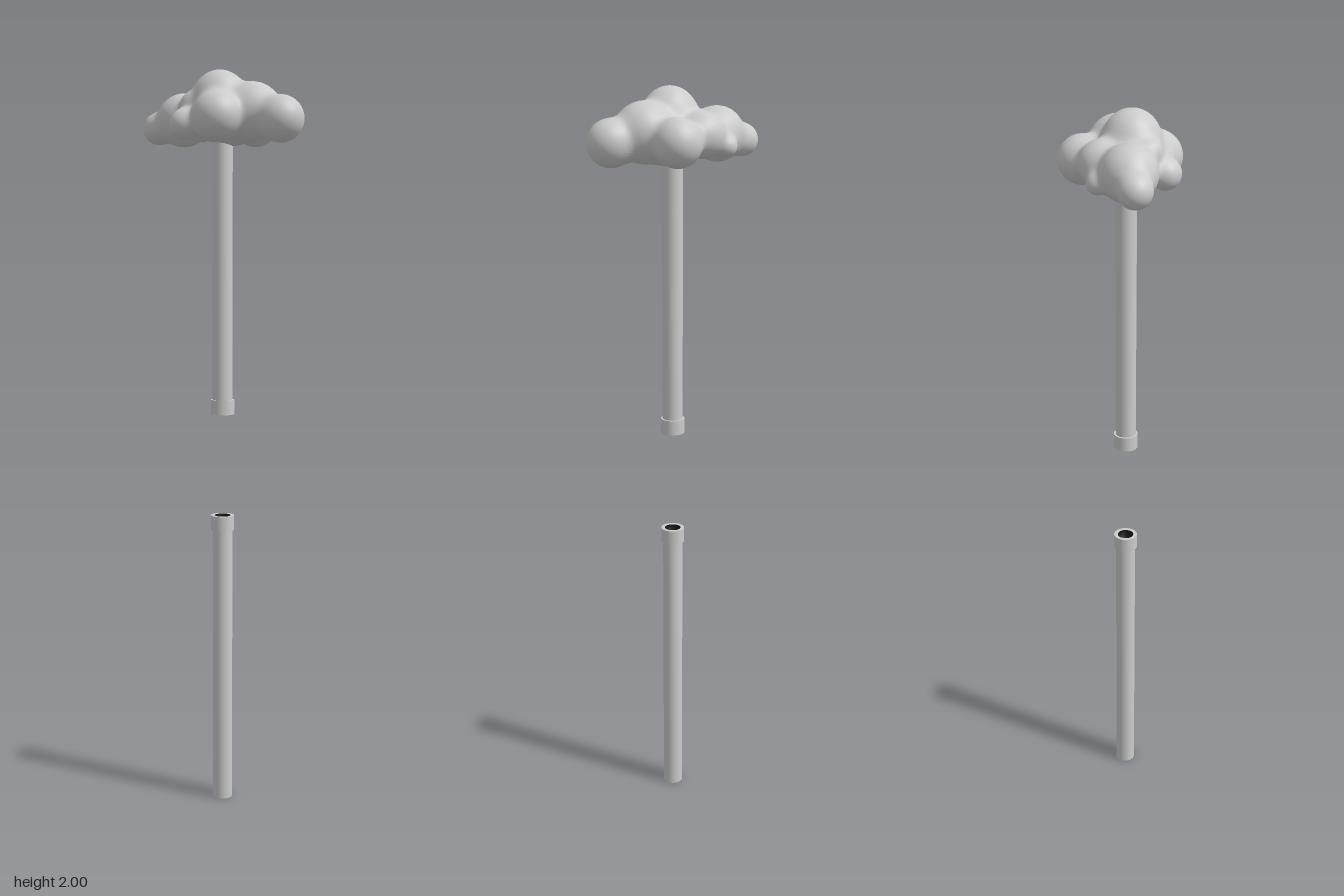
import * as THREE from 'three';

const grey = new THREE.MeshStandardMaterial({ color: 0xcccccc });
const dark = new THREE.MeshStandardMaterial({ color: 0x151515 });
const POLE_X = 0.004, POLE_Z = 0.01;

// Puffs of the cloud: x, y, z, radius
const puffs = [
  [-0.2, 1.857, 0.008, 0.042],
  [-0.122, 1.876, 0.003, 0.07],
  [-0.045, 1.88, -0.055, 0.057],
  [-0.108, 1.85, -0.073, 0.024],
  [-0.06, 1.855, 0.098, 0.039],
  [-0.06, 1.91, 0.06, 0.028],
  [-0.01, 1.885, 0.02, 0.07],
  [0.004, 1.928, 0.024, 0.069],
  [0.03, 1.865, 0, 0.06],
  [0.035, 1.872, 0.089, 0.064],
  [0.045, 1.867, -0.094, 0.061],
  [0.09, 1.888, 0, 0.076],
  [0.179, 1.865, 0.008, 0.06],
];

// Smooth union of all the puffs
function field(p) {
  const k = 0.01;
  let sum = 0;
  for (const [x, y, z, r] of puffs) {
    sum += Math.exp(-(Math.hypot(p.x - x, p.y - y, p.z - z) - r) / k);
  }
  return -k * Math.log(sum);
}

// Shrink-wraps an ellipsoid onto the smooth union
function cloudGeometry() {
  const geo = new THREE.SphereGeometry(1, 160, 96);
  const pos = geo.attributes.position, nor = geo.attributes.normal;
  const centre = new THREE.Vector3(0, 1.88, 0.005);
  const dir = new THREE.Vector3(), p = new THREE.Vector3(), n = new THREE.Vector3(), q = new THREE.Vector3();
  const e = 0.0005;
  for (let i = 0; i < pos.count; i++) {
    dir.fromBufferAttribute(pos, i).multiply(q.set(0.24, 0.11, 0.16)).normalize();
    let t = 0.4;
    for (let s = 0; s < 60; s++) {
      const d = field(p.copy(centre).addScaledVector(dir, t));
      t -= d * 0.9;
      if (Math.abs(d) < 0.00005) break;
    }
    p.copy(centre).addScaledVector(dir, t);
    pos.setXYZ(i, p.x, p.y, p.z);
    // normal from the slope of the field
    for (const axis of ['x', 'y', 'z']) {
      q.copy(p)[axis] += e;
      const ahead = field(q);
      q[axis] -= 2 * e;
      n[axis] = ahead - field(q);
    }
    n.normalize();
    nor.setXYZ(i, n.x, n.y, n.z);
  }
  return geo;
}

function add(group, name, geometry, y, material = grey) {
  const mesh = new THREE.Mesh(geometry, material);
  mesh.name = name;
  mesh.position.y = y;
  group.add(mesh);
  return mesh;
}

// Pole with its collar at the top; the collar's mouth is a dark socket
function makePole(name, length) {
  const pole = new THREE.Group();
  pole.name = name;
  const collarHeight = 0.04, R = 0.032, hole = 0.022, depth = 0.035;
  const shaftLength = length - collarHeight;
  add(pole, 'shaft', new THREE.CylinderGeometry(0.027, 0.027, shaftLength, 40), shaftLength / 2);

  const ring = new THREE.Shape().absarc(0, 0, R, 0, Math.PI * 2);
  ring.holes.push(new THREE.Path().absarc(0, 0, hole, 0, Math.PI * 2, true));
  const collarGeo = new THREE.ExtrudeGeometry(ring, { depth: collarHeight, bevelEnabled: false, curveSegments: 40 });
  collarGeo.rotateX(-Math.PI / 2);
  add(pole, 'collar', collarGeo, shaftLength);

  const inner = hole - 0.0005;
  const socketMaterial = dark.clone();
  socketMaterial.side = THREE.DoubleSide;
  const socket = new THREE.LatheGeometry([
    new THREE.Vector2(0, 0), new THREE.Vector2(inner, 0), new THREE.Vector2(inner, depth),
  ], 40);
  add(pole, 'socket', socket, length - depth, socketMaterial);
  return pole;
}

export function createModel() {
  const model = new THREE.Group();
  model.name = 'cloudOnSplitPole';

  const lower = makePole('lowerPole', 0.81);
  lower.position.set(POLE_X, 0, POLE_Z);

  // Upper pole is turned over so that its collar faces down
  const upper = makePole('upperPole', 0.76);
  upper.rotation.x = Math.PI;
  upper.position.set(POLE_X, 1.85, POLE_Z);

  model.add(lower, upper);
  add(model, 'cloud', cloudGeometry(), 0);
  return model;
}
